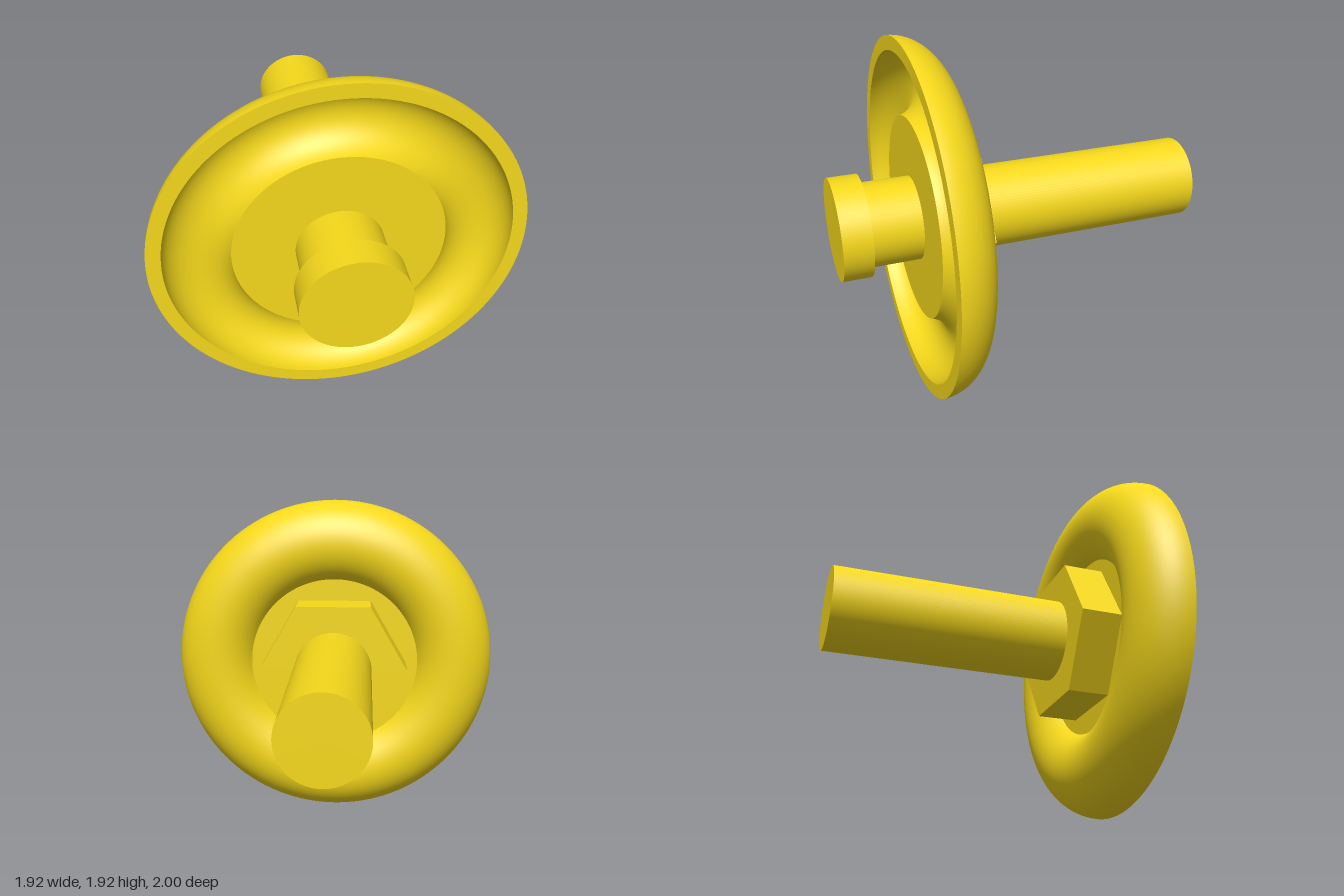
import * as THREE from 'three';
import { toCreasedNormals } from 'three/addons/utils/BufferGeometryUtils.js';

const COLOR = 0xf5d81b;

export function createModel() {
  const model = new THREE.Group();
  const smooth = new THREE.MeshStandardMaterial({ color: COLOR });
  const faceted = new THREE.MeshStandardMaterial({ color: COLOR, flatShading: true });

  // All parts are turned about one axis, which is laid along z at the end
  const axis = new THREE.Group();
  axis.name = 'wheelAssembly';
  axis.rotation.x = Math.PI / 2;
  axis.position.y = 0.96;
  model.add(axis);

  const add = (name, geometry, material = smooth) => {
    const mesh = new THREE.Mesh(geometry, material);
    mesh.name = name;
    axis.add(mesh);
    return mesh;
  };
  const rod = (name, radius, from, to, sides = 96, start = 0, material = smooth) => {
    const g = new THREE.CylinderGeometry(radius, radius, to - from, sides, 1, false, start);
    g.translate(0, (from + to) / 2, 0);
    return add(name, g, material);
  };

  // Dished shell: a half-round channel of even thickness around a flat hub plate
  const MID = 0.713, RIM = 0.612, OUTER = 0.247, INNER = 0.172;
  const PLATE_BACK = 0.485, PLATE_FRONT = 0.575, STEPS = 28;
  const arc = (radius, a0, a1) => Array.from({ length: STEPS + 1 }, (_, i) => {
    const a = a0 + (a1 - a0) * i / STEPS;
    return new THREE.Vector2(MID + radius * Math.cos(a), RIM + (radius - (OUTER - 0.24)) * Math.sin(a));
  });
  const hubAngle = (radius, z) => Math.PI + Math.asin((RIM - z) / (radius - (OUTER - 0.24)));
  const profile = [
    new THREE.Vector2(0.2, PLATE_BACK),
    ...arc(OUTER, hubAngle(OUTER, PLATE_BACK), Math.PI * 2),
    ...arc(INNER, Math.PI * 2, hubAngle(INNER, PLATE_FRONT)),
    new THREE.Vector2(0.2, PLATE_FRONT),
  ];
  add('dishedDisc', toCreasedNormals(new THREE.LatheGeometry(profile, 128), 0.45));

  // Shaft through the disc, with a wider cap on the front end
  rod('shaft', 0.225, -1, 0.845);
  rod('endCap', 0.273, 0.845, 1);

  // Hexagonal nut seated against the back of the hub plate
  rod('hexNut', 0.433, 0.26, PLATE_BACK + 0.01, 6, Math.PI / 6, faceted);

  return model;
}
